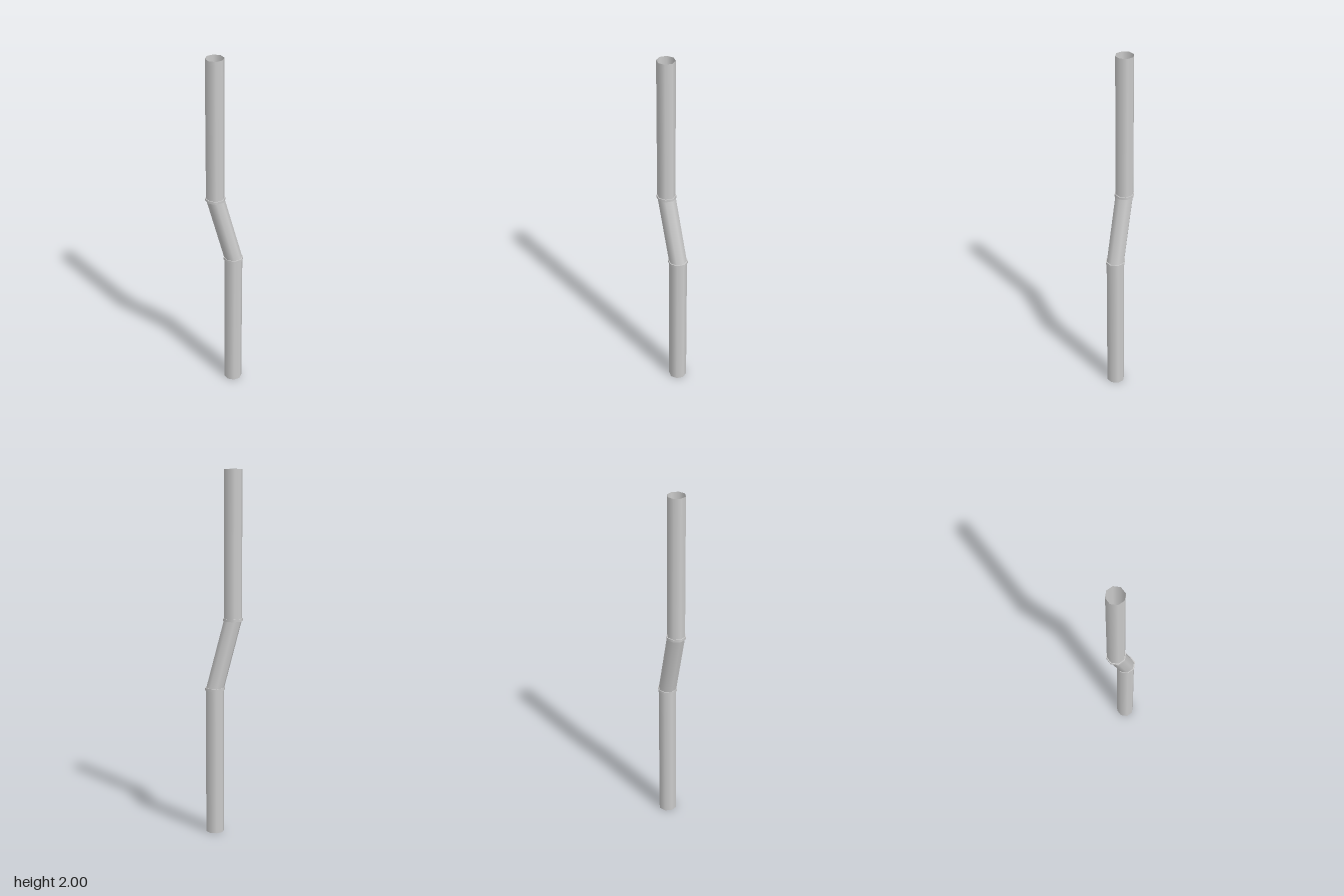
import * as THREE from 'three';
import { toCreasedNormals } from 'three/addons/utils/BufferGeometryUtils.js';

const SIDES = 8;
const RADIUS = 0.05;
const OFFSET = 0.05;
const LOW_JOINT = 0.81;
const HIGH_JOINT = 1.19;

export function createModel() {
  const group = new THREE.Group();
  const material = new THREE.MeshStandardMaterial({ color: 0xcccccc, side: THREE.DoubleSide });

  // Open pipe with level ends, sheared sideways from x0 to x1
  function addPipe(name, x0, y0, x1, y1) {
    const height = y1 - y0;
    const geometry = new THREE.CylinderGeometry(RADIUS, RADIUS, height, SIDES, 1, true);
    const slope = (x1 - x0) / height;
    geometry.applyMatrix4(new THREE.Matrix4().set(
      1, slope, 0, 0,
      0, 1, 0, 0,
      0, 0, 1, 0,
      0, 0, 0, 1
    ));
    const mesh = new THREE.Mesh(geometry, material);
    mesh.position.set((x0 + x1) / 2, (y0 + y1) / 2, 0);
    mesh.name = name;
    group.add(mesh);
  }

  // Thin raised band around a joint
  function addCollar(name, x, y) {
    const h = 0.007;
    const outer = RADIUS + 0.005;
    const inner = RADIUS - 0.001;
    const profile = [[inner, -h], [outer, -h], [outer, h], [inner, h]]
      .map(([r, v]) => new THREE.Vector2(r, v));
    const geometry = toCreasedNormals(new THREE.LatheGeometry(profile, SIDES), Math.PI / 3);
    const mesh = new THREE.Mesh(geometry, material);
    mesh.position.set(x, y, 0);
    mesh.name = name;
    group.add(mesh);
  }

  // Two upright pipes joined by a slanted one
  addPipe('lowerPipe', OFFSET, 0, OFFSET, LOW_JOINT);
  addPipe('slantedPipe', OFFSET, LOW_JOINT, -OFFSET, HIGH_JOINT);
  addPipe('upperPipe', -OFFSET, HIGH_JOINT, -OFFSET, 2);

  // Collars at the bends
  addCollar('lowerCollar', OFFSET, LOW_JOINT);
  addCollar('upperCollar', -OFFSET, HIGH_JOINT);

  return group;
}
